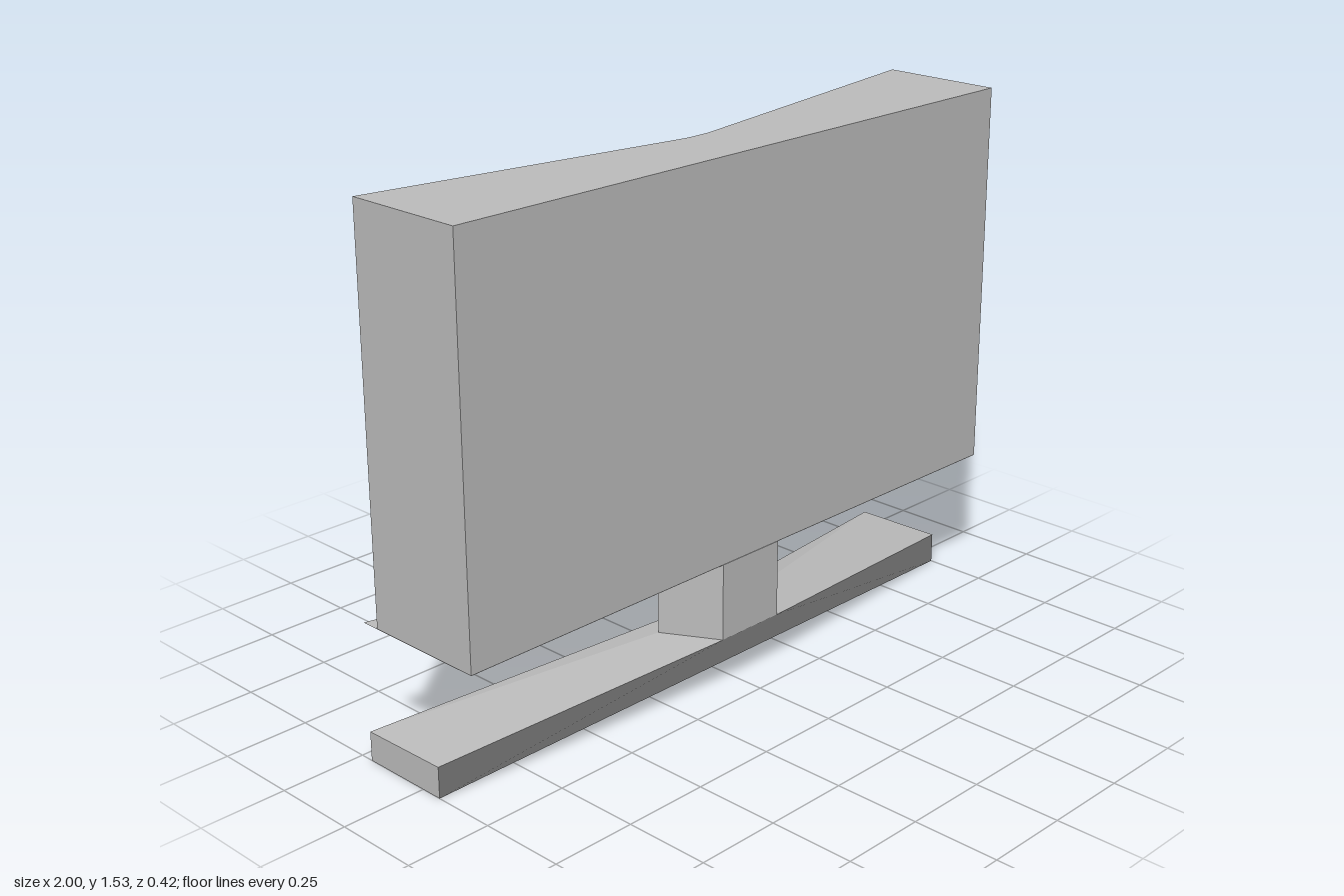
import * as THREE from 'three';

const grey = new THREE.MeshStandardMaterial({ color: 0xbcbcbc });
grey.name = 'plain grey';
const greySheet = new THREE.MeshStandardMaterial({ color: 0xbcbcbc, side: THREE.DoubleSide });
greySheet.name = 'plain grey sheet';

// Symmetric plan shape from the +x half of its outline, given as [x, z] from front to back.
function plan(half) {
  const mirrored = half.map(([x, z]) => [-x, z]).reverse();
  return new THREE.Shape([...half, ...mirrored].map(([x, z]) => new THREE.Vector2(x, -z)));
}

function prism(half, y0, y1) {
  const geo = new THREE.ExtrudeGeometry(plan(half), { depth: y1 - y0, bevelEnabled: false });
  return geo.rotateX(-Math.PI / 2).translate(0, y0, 0);
}

// Each surface is a list of convex polygons that share one averaged normal.
function fromSurfaces(surfaces) {
  const position = [], normal = [];
  for (const polygons of surfaces) {
    const sum = new THREE.Vector3();
    const corners = [];
    for (const p of polygons) {
      for (let i = 1; i < p.length - 1; i++) {
        const [a, b, c] = [p[0], p[i], p[i + 1]].map((q) => new THREE.Vector3(...q));
        corners.push(a, b, c);
        sum.add(b.clone().sub(a).cross(c.clone().sub(a)));
      }
    }
    sum.normalize();
    for (const v of corners) {
      position.push(v.x, v.y, v.z);
      normal.push(sum.x, sum.y, sum.z);
    }
  }
  const geo = new THREE.BufferGeometry();
  geo.setAttribute('position', new THREE.Float32BufferAttribute(position, 3));
  geo.setAttribute('normal', new THREE.Float32BufferAttribute(normal, 3));
  return geo;
}

const flip = ([x, y, z]) => [-x, y, z];
const mirror = (polygon) => polygon.map(flip).reverse();

function baseGeometry() {
  const hubFront = [0.11, 0.175, 0.21], hubSide = [0.2, 0.175, 0.05], hubBack = [0.04, 0.175, 0.005];
  const tipFront = [1, 0.09, 0.065], tipBack = [1, 0.085, -0.21];
  const footFront = [1, 0, 0.065], footBack = [1, 0, -0.21], footMid = [0.04, 0, 0.005];
  const wing = [
    [hubFront, tipFront, tipBack, hubSide],     // sloping top
    [hubSide, tipBack, hubBack],                // rear sliver of the top
    [tipFront, footFront, footBack, tipBack],   // end
    [tipBack, footBack, footMid, hubBack],      // back
    [footFront, footMid, footBack],             // underside
  ];
  const frontSide = [footFront, tipFront, hubFront];
  return fromSurfaces([
    ...wing.map((p) => [p]),
    ...wing.map((p) => [mirror(p)]),
    // undercut front
    [[flip(footFront), footFront, hubFront, flip(hubFront)], frontSide, mirror(frontSide)],
    // centre strip at the back and middle of the underside
    [[hubBack, footMid, flip(footMid), flip(hubBack)]],
    [[flip(footFront), flip(footMid), footMid, footFront]],
  ]);
}

export function createModel() {
  const model = new THREE.Group();
  model.name = 'screenOnStand';
  const add = (name, geometry, material = grey) => {
    const mesh = new THREE.Mesh(geometry, material);
    mesh.name = name;
    model.add(mesh);
  };

  // Screen block with a back hollowed towards the middle
  add('screenPanel', prism([[1, 0.21], [1, -0.155], [0.04, 0.005]], 0.401, 1.53));

  // Thin sheet closing the bottom, reaching past the back
  const sheet = new THREE.ShapeGeometry(plan([[1, 0.21], [1, -0.21], [0.04, 0.005]]));
  add('bottomSheet', sheet.rotateX(-Math.PI / 2).translate(0, 0.4, 0), greySheet);

  // Flared neck and swept base
  add('neck', prism([[0.11, 0.21], [0.2, 0.05], [0.04, 0.005]], 0.175, 0.4));
  add('base', baseGeometry());
  return model;
}
